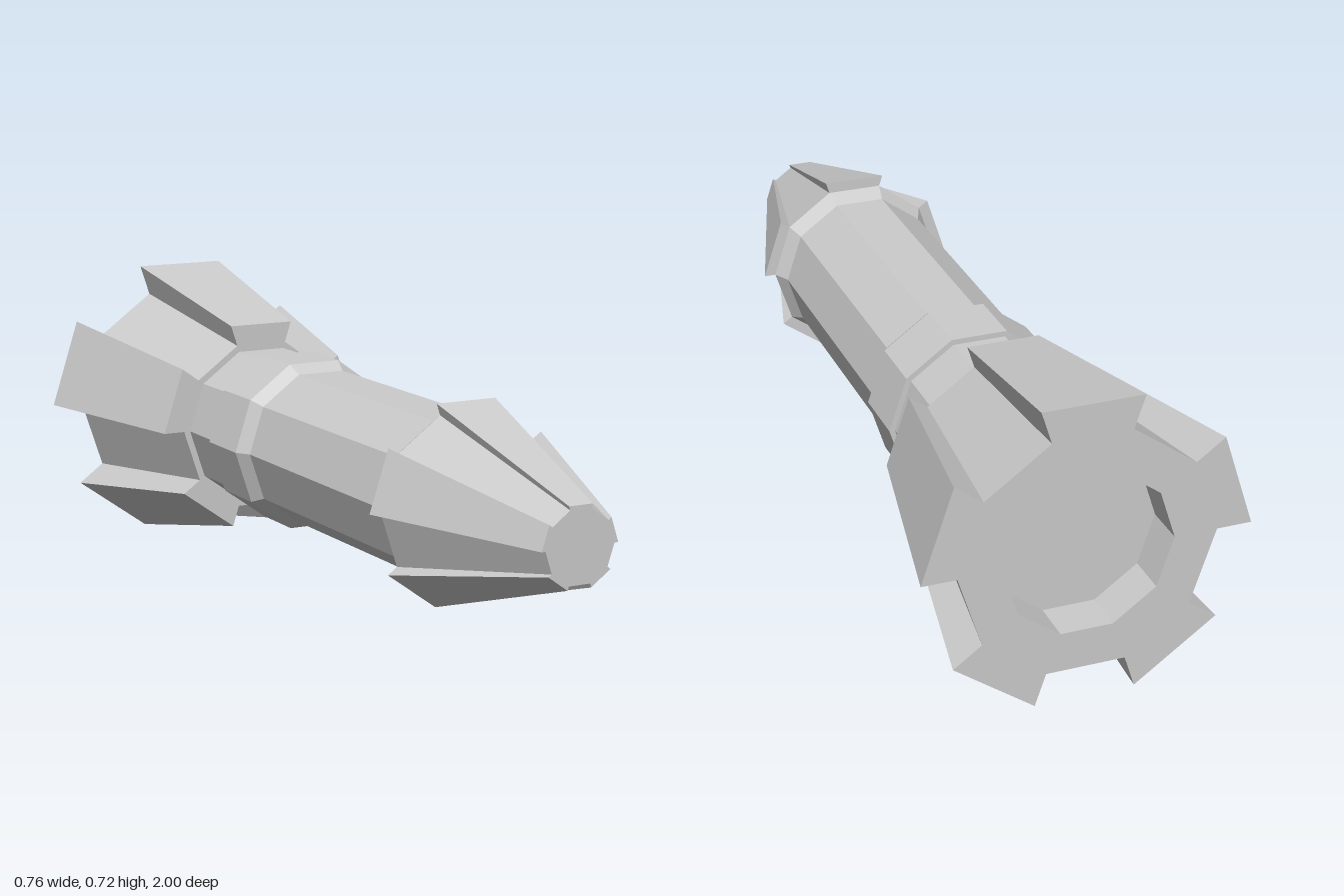
import * as THREE from 'three';

const SIDES = 10;
const STEP = (Math.PI * 2) / SIDES;
const AXIS_Y = 0.36;

// Decagonal ring at depth z: alternate facets sit at the low or the raised apothem.
function ring([z, low, high = low]) {
  const points = [];
  for (let k = 0; k < SIDES; k++) {
    const r = (k % 2 === 0 ? high : low) / Math.cos(STEP / 2);
    for (const a of [k * STEP, (k + 1) * STEP]) {
      points.push(new THREE.Vector3(r * Math.cos(a), r * Math.sin(a), z));
    }
  }
  return points;
}

// Skins a list of [z, low apothem, raised apothem] sections, skipping collapsed triangles.
function loft(name, sections, material) {
  const rings = sections.map(ring);
  const positions = [];
  const tri = (a, b, c) => {
    if (new THREE.Triangle(a, b, c).getArea() < 1e-8) return;
    for (const p of [a, b, c]) positions.push(p.x, p.y, p.z);
  };
  for (let s = 0; s < rings.length - 1; s++) {
    const p = rings[s], q = rings[s + 1];
    for (let i = 0; i < p.length; i++) {
      const j = (i + 1) % p.length;
      tri(p[i], q[i], p[j]);
      tri(q[i], q[j], p[j]);
    }
  }
  const geometry = new THREE.BufferGeometry();
  geometry.setAttribute('position', new THREE.Float32BufferAttribute(positions, 3));
  geometry.computeVertexNormals();
  const mesh = new THREE.Mesh(geometry, material);
  mesh.name = name;
  return mesh;
}

export function createModel() {
  const material = new THREE.MeshStandardMaterial({ color: 0xcccccc, flatShading: true });
  const model = new THREE.Group();
  model.name = 'finnedRocket';

  // Tapered nose with five raised panels, ending in a step and chamfer
  const nose = loft('nose', [
    [1, 0], [1, 0.082, 0.091],
    [0.53, 0.207, 0.234], [0.53, 0.207],
    [0.49, 0.187],
  ], material);

  // Straight barrel
  const body = loft('body', [[0.49, 0.187], [-0.17, 0.187]], material);

  // Chamfered collar stepping down to the neck
  const collar = loft('collar', [
    [-0.17, 0.187], [-0.205, 0.208],
    [-0.355, 0.208], [-0.355, 0.195],
  ], material);
  const neck = loft('neck', [[-0.355, 0.195], [-0.5, 0.195]], material);

  // Flared tail with five raised fins and a flat rear rim
  const tail = loft('tail', [
    [-0.5, 0.195], [-0.5, 0.211, 0.263],
    [-1, 0.283, 0.36], [-1, 0.188],
  ], material);

  // Shallow recess in the rear face
  const recess = loft('rearRecess', [[-1, 0.188], [-0.9, 0.188], [-0.9, 0]], material);

  model.add(nose, body, collar, neck, tail, recess);
  for (const part of model.children) part.position.y = AXIS_Y;
  return model;
}
